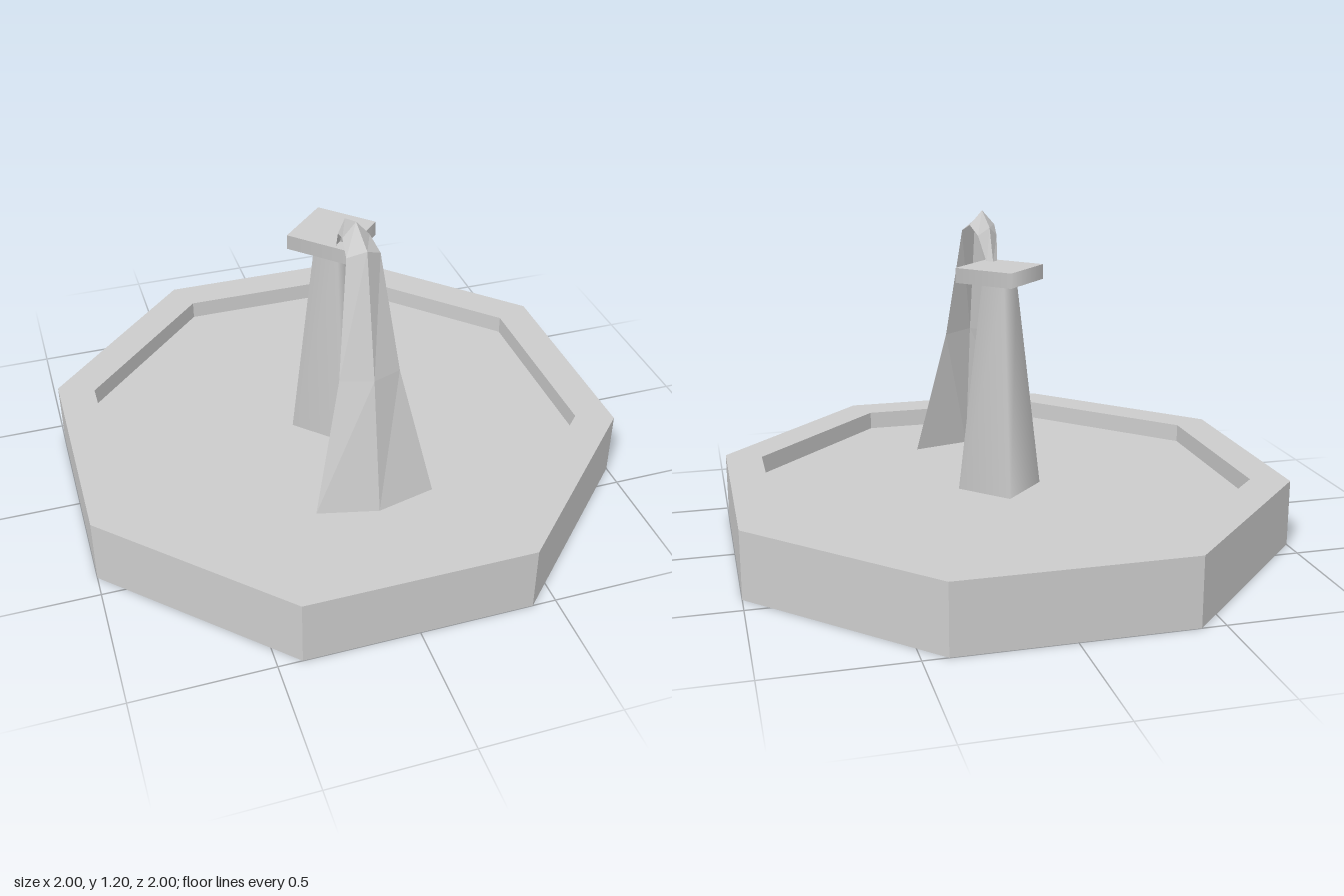
import * as THREE from 'three';

const flat = new THREE.MeshStandardMaterial({ color: 0xcccccc, flatShading: true, side: THREE.DoubleSide });
const smooth = new THREE.MeshStandardMaterial({ color: 0xcccccc, side: THREE.DoubleSide });

const SIDES = 8;
const CORNER = 1 / Math.cos(Math.PI / SIDES); // apothem to corner radius

function addPart(group, name, geometry, material, y = 0) {
  const mesh = new THREE.Mesh(geometry, material);
  mesh.name = name;
  mesh.position.y = y;
  group.add(mesh);
  return mesh;
}

// Folded sheet: a centre ridge with a mirrored edge on each side
function foldedSheet(stations) {
  const positions = [];
  const index = [];
  stations.forEach(([ridgeY, ridgeZ, halfWidth, edgeY, edgeZ], i) => {
    positions.push(-halfWidth, edgeY, edgeZ, 0, ridgeY, ridgeZ, halfWidth, edgeY, edgeZ);
    if (i === 0) return;
    for (let side = 0; side < 2; side++) {
      const a = (i - 1) * 3 + side;
      const b = i * 3 + side;
      index.push(a, a + 1, b + 1, a, b + 1, b);
    }
  });
  const geometry = new THREE.BufferGeometry();
  geometry.setAttribute('position', new THREE.Float32BufferAttribute(positions, 3));
  geometry.setIndex(index);
  geometry.computeVertexNormals();
  return geometry;
}

export function createModel() {
  const group = new THREE.Group();
  group.name = 'fountain';

  // Hollow octagonal rim, open underneath
  const inner = 0.865;
  const rimProfile = [[1, 0], [1, 0.25], [inner, 0.25], [inner, 0]]
    .map(([apothem, y]) => new THREE.Vector2(apothem * CORNER, y));
  addPart(group, 'basinRim', new THREE.LatheGeometry(rimProfile, SIDES, Math.PI / SIDES), flat);

  // Thin basin floor
  const floor = new THREE.CircleGeometry(inner * CORNER, SIDES, Math.PI / SIDES);
  floor.rotateX(-Math.PI / 2);
  addPart(group, 'basinFloor', floor, flat, 0.18);

  // Tapered four-sided pillar passing through the floor, open at the bottom
  addPart(group, 'pillar', new THREE.CylinderGeometry(0.065, 0.168, 0.87, 4, 1, true), smooth, 0.535);

  // Square cap
  addPart(group, 'pillarCap', new THREE.CylinderGeometry(0.165, 0.165, 0.055, 4), smooth, 0.9975);

  // Curved arm: ridge y, ridge z, half width, edge y, edge z
  addPart(group, 'curvedArm', foldedSheet([
    [0.18, 0.57, 0.22, 0.18, 0.517],
    [0.69, 0.485, 0.11, 0.68, 0.435],
    [1.145, 0.388, 0.06, 1.11, 0.35],
    [1.195, 0.27, 0.048, 1.14, 0.27],
    [1.145, 0.15, 0.036, 1.11, 0.185],
    [1.025, 0.097, 0.02, 1.02, 0.115],
  ]), flat);

  return group;
}
